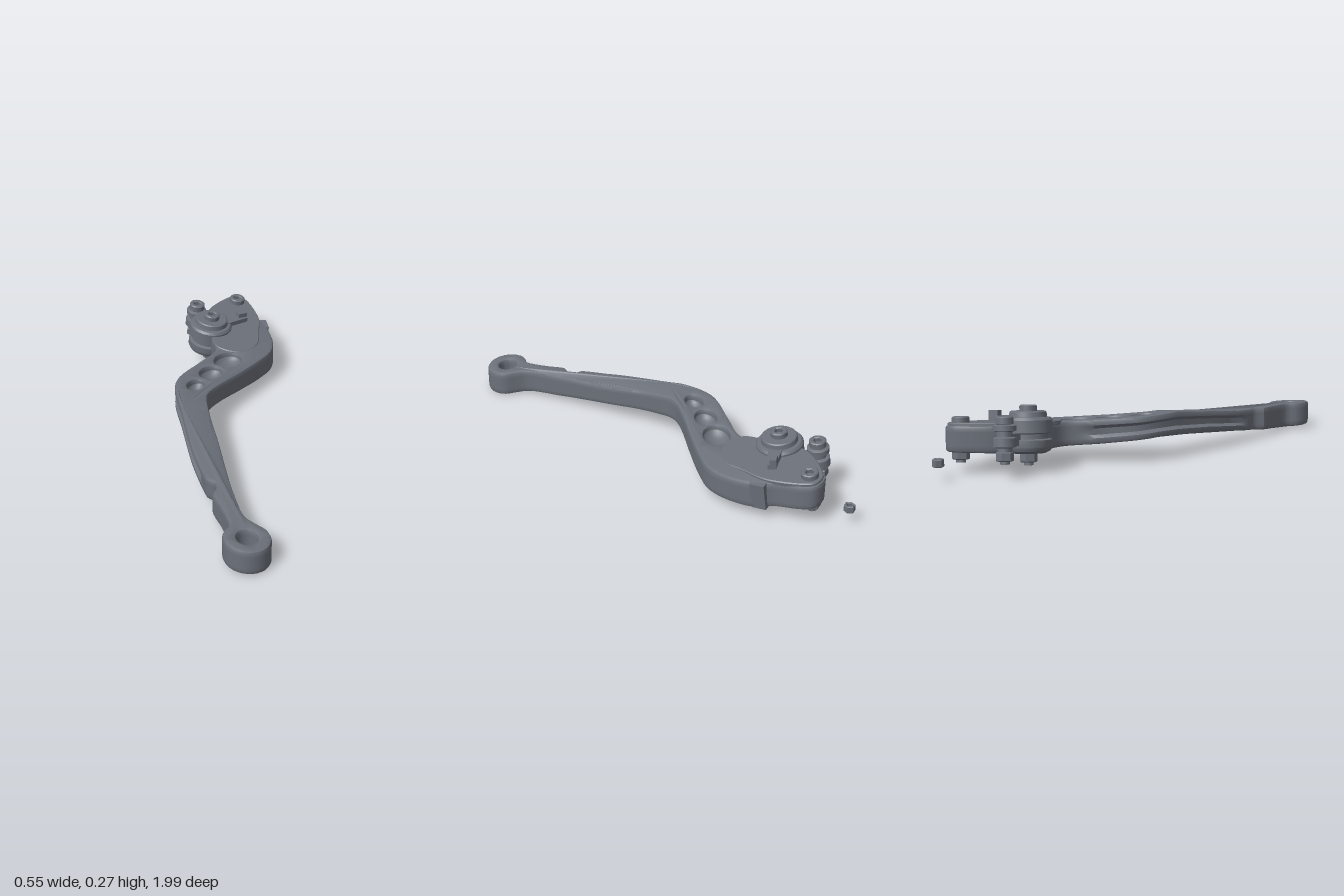
import * as THREE from 'three';
import { toCreasedNormals } from 'three/addons/utils/BufferGeometryUtils.js';

const metal = new THREE.MeshStandardMaterial({ color: 0x6c717a, side: THREE.DoubleSide });
metal.name = 'gunmetal grey';

// Piecewise linear lookup through [z, value] pairs
function lookup(table, z) {
  if (z <= table[0][0]) return table[0][1];
  for (let i = 1; i < table.length; i++) {
    const [z0, v0] = table[i - 1], [z1, v1] = table[i];
    if (z <= z1) return v0 + (v1 - v0) * (z - z0) / (z1 - z0);
  }
  return table[table.length - 1][1];
}
const TILT = 0.1;
const topTable = [[-0.88, 0.222], [-0.6, 0.195], [-0.45, 0.186], [-0.2, 0.18], [0, 0.183], [0.2, 0.158],
  [0.4, 0.133], [0.6, 0.12], [0.8, 0.115], [1, 0.108]];
const bottomTable = [[-0.88, 0.112], [-0.6, 0.077], [-0.45, 0.078], [-0.3, 0.076], [-0.1, 0.083], [0, 0.077],
  [0.2, 0.063], [0.4, 0.04], [0.6, 0.015], [0.8, 0], [1, -0.002]];
const leftEdge = [[-0.42, -0.02], [-0.32, -0.125], [-0.185, -0.245], [-0.095, -0.275], [0.34, -0.275], [0.5, -0.255]];
const topY = (x, z) => lookup(topTable, z) - TILT * x;
const bottomY = (x, z) => lookup(bottomTable, z) - TILT * x;

function add(parent, name, geometry, x = 0, y = 0, z = 0) {
  const mesh = new THREE.Mesh(geometry, metal);
  mesh.name = name;
  mesh.position.set(x, y, z);
  parent.add(mesh);
  return mesh;
}

// Smooth closed outline in plan, given as [x, z]
function outline(points, samples) {
  const curve = new THREE.CatmullRomCurve3(points.map(([x, z]) => new THREE.Vector3(x, -z, 0)), true);
  return new THREE.Shape(curve.getSpacedPoints(samples).slice(0, -1).map((p) => new THREE.Vector2(p.x, p.y)));
}

function ellipseHole(x, z, rx, ry, angle) {
  const path = new THREE.Path();
  path.absellipse(x, -z, rx, ry, 0, Math.PI * 2, true, angle);
  return new THREE.Path(path.getPoints(14).slice(0, -1));
}

// Three dished pockets along the bend: x, z, long radius, short radius, angle
const pockets = [
  [-0.178, -0.115, 0.05, 0.036, 1.0],
  [-0.09, -0.22, 0.06, 0.046, 0.8],
  [0.01, -0.325, 0.072, 0.056, 0.75],
];

function leverGeometry() {
  const ring = [];
  for (let i = 0; i <= 10; i++) {
    const a = -0.95 + i * (Math.PI + 1.9) / 10;
    ring.push([-0.165 - 0.095 * Math.cos(a), 0.895 + 0.095 * Math.sin(a)]);
  }
  const shape = outline([
    ...ring, [-0.143, 0.77], [-0.158, 0.61], [-0.155, 0.3], [-0.155, 0.08], [-0.138, -0.03], [-0.07, -0.11],
    [0.05, -0.215], [0.165, -0.32], [0.235, -0.4], [0.265, -0.5], [0.26, -0.635], [0.235, -0.7], [0.222, -0.82],
    [0.2, -0.865], [0.14, -0.88], [0.095, -0.855], [0, -0.757], [-0.03, -0.65], [-0.03, -0.51], [-0.03, -0.42],
    [-0.125, -0.315], [-0.245, -0.185], [-0.275, -0.095], [-0.277, 0.1], [-0.275, 0.34], [-0.257, 0.5],
    [-0.25, 0.53], [-0.222, 0.55], [-0.225, 0.585], [-0.245, 0.615], [-0.23, 0.7], [-0.22, 0.77],
  ], 230);
  shape.holes.push(ellipseHole(-0.165, 0.895, 0.042, 0.042, 0));
  pockets.forEach((p) => shape.holes.push(ellipseHole(...p)));
  const geo = new THREE.ExtrudeGeometry(shape, {
    depth: 0.76, steps: 6, bevelThickness: 0.12, bevelSize: 0.013, bevelOffset: -0.013, bevelSegments: 2,
  });
  geo.translate(0, 0, 0.12).rotateX(-Math.PI / 2);
  // Follow the side profile and press a long groove into the outer wall
  const p = geo.attributes.position;
  for (let i = 0; i < p.count; i++) {
    let x = p.getX(i);
    const t = p.getY(i), z = p.getZ(i);
    if (Math.abs(t - 0.5) < 0.2 && z > -0.38 && z < 0.48 && x < lookup(leftEdge, z) + 0.025) {
      x += 0.022 * Math.min(1, (z + 0.38) * 10, (0.48 - z) * 10);
    }
    const low = bottomY(x, z);
    p.setXYZ(i, x, low + t * (topY(x, z) - low), z);
  }
  return toCreasedNormals(geo, 0.5);
}

// Round or hexagonal collar with a hexagonal bore
function collar(r, bore, height, sides = 24) {
  const circle = (n, radius) => Array.from({ length: n }, (_, i) =>
    new THREE.Vector2(radius * Math.cos(i * 2 * Math.PI / n), radius * Math.sin(i * 2 * Math.PI / n)));
  const shape = new THREE.Shape(circle(sides, r));
  shape.holes.push(new THREE.Path(circle(6, bore).reverse()));
  const geo = new THREE.ExtrudeGeometry(shape, {
    depth: height - 0.008, bevelThickness: 0.004, bevelSize: 0.004, bevelOffset: -0.004, bevelSegments: 1,
  });
  return toCreasedNormals(geo.translate(0, 0, 0.004).rotateX(-Math.PI / 2), 0.5);
}

// Turned part from [radius, y] pairs
function turned(profile, sides = 32) {
  return toCreasedNormals(new THREE.LatheGeometry(profile.map(([r, y]) => new THREE.Vector2(r, y)), sides), 0.5);
}

// Socket screw on top, shank through, hexagonal nut below
function fastener(parent, name, x, z, top, bottom, r, nutTop) {
  const group = new THREE.Group();
  group.name = name;
  group.position.set(x, 0, z);
  parent.add(group);
  add(group, 'screwHead', collar(r, r * 0.5, 0.032), 0, top - 0.032);
  add(group, 'shank', turned([[0, bottom], [r * 0.55, bottom], [r * 0.55, top - 0.02], [0, top - 0.02]], 20));
  add(group, 'nut', collar(r, r * 0.5, nutTop - bottom - 0.012, 6), 0, bottom + 0.012);
  return group;
}

export function createModel() {
  const model = new THREE.Group();
  model.name = 'lever';
  add(model, 'leverBody', leverGeometry());

  // Dished pockets, above and below
  const dish = Array.from({ length: 7 }, (_, i) => {
    const a = i * Math.PI / 12;
    return [Math.sin(a), 1 - Math.cos(a)];
  });
  for (const [x, z, rx, rz, angle] of pockets) {
    for (const side of [1, -1]) {
      const y = side > 0 ? topY(x, z) - 0.004 : bottomY(x, z) + 0.004;
      const geo = turned(dish, 28).translate(0, -1, 0);
      geo.scale(rx + 0.006, 0.046 * side, rz + 0.006).rotateY(angle).rotateZ(-TILT);
      add(model, side > 0 ? 'upperPocket' : 'lowerPocket', geo, x, y, z);
    }
  }

  // Clamp head hardware, leaning with the head
  const head = new THREE.Group();
  head.name = 'headHardware';
  head.position.set(0, 0.195, -0.6);
  head.rotation.set(0.09, 0, -TILT);
  model.add(head);

  // Raised cover plate
  const plate = outline([[-0.03, 0.09], [-0.02, 0.165], [0.04, 0.208], [0.11, 0.208], [0.18, 0.15], [0.205, 0.06],
    [0.235, -0.06], [0.215, -0.22], [0.195, -0.258], [0.14, -0.27], [0.095, -0.245], [0, -0.15], [-0.03, -0.05]], 70);
  const plateGeo = new THREE.ExtrudeGeometry(plate, {
    depth: 0.014, bevelThickness: 0.004, bevelSize: 0.004, bevelOffset: -0.004, bevelSegments: 1,
  });
  add(head, 'coverPlate', toCreasedNormals(plateGeo.rotateX(-Math.PI / 2), 0.5), 0, -0.006);

  // Stepped adjuster drum around the pivot
  add(head, 'adjusterDrum', turned([[0, -0.115], [0.07, -0.115], [0.09, -0.105], [0.098, -0.09], [0.098, -0.06],
    [0.085, -0.055], [0.085, -0.035], [0.1, -0.03], [0.1, 0.02], [0.092, 0.03], [0.078, 0.032], [0.075, 0.052],
    [0.07, 0.056], [0, 0.056]], 40), -0.015, 0, -0.01);
  fastener(head, 'pivotBolt', -0.016, -0.01, 0.08, -0.165, 0.036, -0.112);

  // Adjuster pointer with its end tab
  const pointer = new THREE.Shape();
  pointer.moveTo(0.0, -0.035);
  pointer.lineTo(0.17, 0.04);
  pointer.lineTo(0.16, 0.07);
  pointer.lineTo(0.0, 0.045);
  const pointerGeo = new THREE.ExtrudeGeometry(pointer, { depth: 0.022, bevelEnabled: false });
  add(head, 'pointer', pointerGeo.rotateX(-Math.PI / 2), 0, 0.012);
  add(head, 'pointerTab', new THREE.BoxGeometry(0.045, 0.04, 0.028), 0.142, 0.036, -0.056).rotation.y = 0.3;

  // Screw at the tip of the head
  fastener(head, 'tipScrew', 0.157, -0.22, 0.036, -0.15, 0.036, -0.1);

  // Cable post beside the drum
  const post = fastener(head, 'cablePost', -0.055, -0.165, 0.04, -0.15, 0.036, -0.1);
  add(post, 'postBody', turned([[0, -0.1], [0.03, -0.1], [0.03, -0.085], [0.047, -0.08], [0.047, -0.045], [0.032, -0.04],
    [0.032, -0.02], [0.047, -0.016], [0.047, 0.004], [0.035, 0.01], [0, 0.01]], 24));
  add(head, 'postLink', new THREE.BoxGeometry(0.05, 0.05, 0.1), -0.035, -0.055, -0.1).rotation.y = 0.3;

  // Stop tab on the outer side of the head
  add(head, 'stopTab', new THREE.BoxGeometry(0.05, 0.115, 0.065), 0.247, -0.058, -0.035);

  // Loose nut behind the head
  add(model, 'looseNut', collar(0.024, 0.014, 0.034, 6), 0.1, 0.06, -0.977);
  return model;
}
